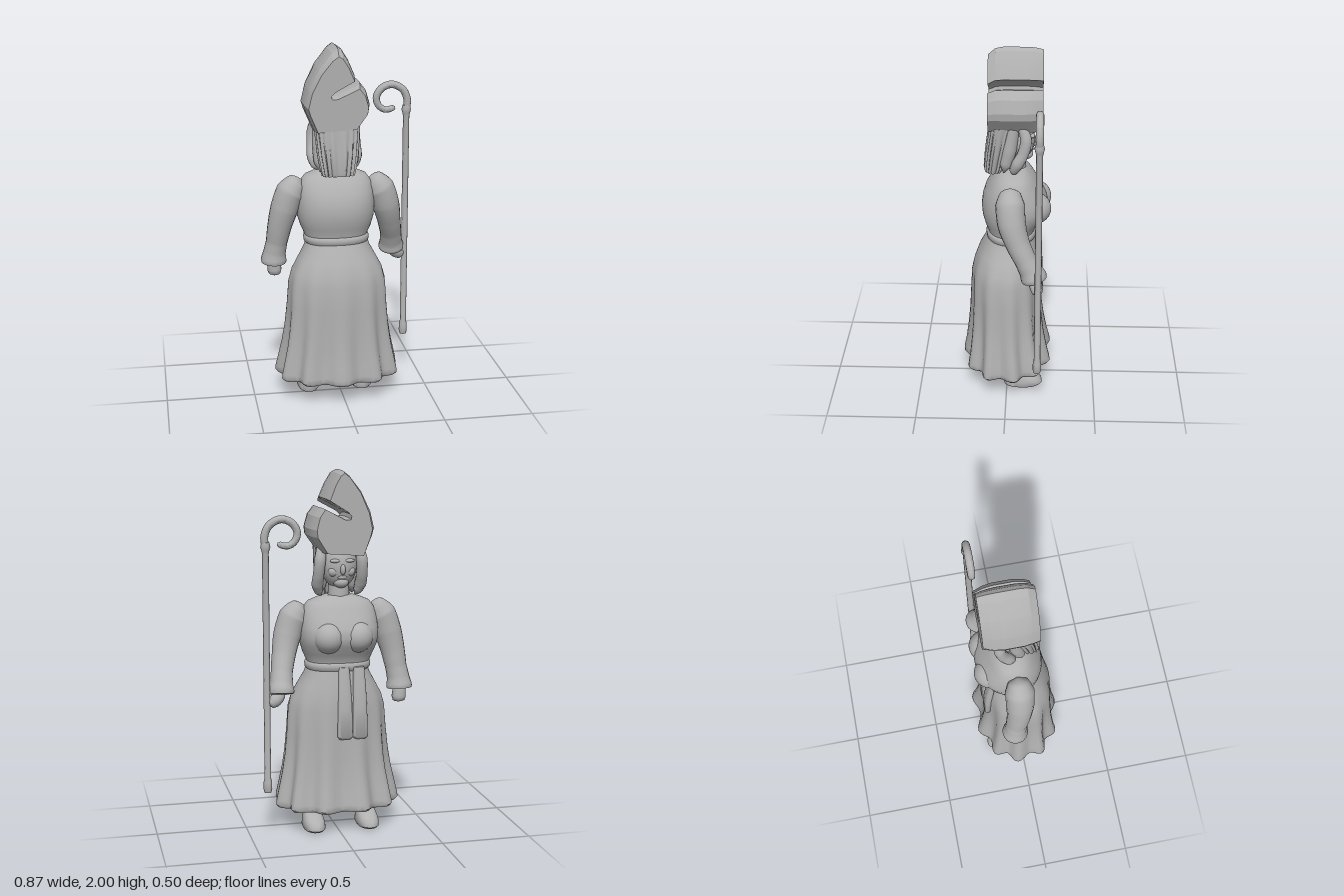
import * as THREE from 'three';
import { mergeVertices, toCreasedNormals } from 'three/addons/utils/BufferGeometryUtils.js';

const grey = new THREE.MeshStandardMaterial({ color: 0xb0b0b0 });
grey.name = 'stone grey';
const CX = -0.025; // body axis

function smooth(geo, crease = 0.8) {
  geo.deleteAttribute('uv');
  geo.deleteAttribute('normal');
  return toCreasedNormals(mergeVertices(geo, 1e-4), crease);
}

// Loft of oval rings, rows upward: [y, halfWidth, zPlus, zMinus, ripple]
function loft(rows, { cx = CX, lobes = 0, phase = 0, power = 0.9, seg = 88 } = {}) {
  const pos = [], idx = [];
  const first = rows[0], last = rows[rows.length - 1];
  const cap = r => [r[0], 0.001, (r[2] + r[3]) / 2 + 0.001, (r[2] + r[3]) / 2 - 0.001, 0];
  const all = [cap(first), ...rows, cap(last)];
  const bend = v => Math.sign(v) * Math.abs(v) ** power;
  all.forEach(([y, rx, zb, zf, rip = 0]) => {
    for (let j = 0; j < seg; j++) {
      const a = j / seg * Math.PI * 2, w = rip * Math.cos(lobes * a + phase);
      pos.push(cx + (rx + w) * bend(Math.cos(a)), y, (zb + zf) / 2 + ((zb - zf) / 2 + w) * bend(Math.sin(a)));
    }
  });
  for (let i = 0; i < all.length - 1; i++) for (let j = 0; j < seg; j++) {
    const k = (j + 1) % seg, a = i * seg + j, d = i * seg + k;
    idx.push(a, a + seg, d + seg, a, d + seg, d);
  }
  const g = new THREE.BufferGeometry();
  g.setAttribute('position', new THREE.Float32BufferAttribute(pos, 3));
  g.setIndex(idx);
  return smooth(g);
}

// Tube whose radius changes along its path: points are [x, y, z, radius]
function limb(points, seg = 40, radial = 18) {
  const curve = new THREE.CatmullRomCurve3(points.map(p => new THREE.Vector3(p[0], p[1], p[2])), false, 'centripetal');
  const g = new THREE.TubeGeometry(curve, seg, 1, radial);
  const p = g.attributes.position, v = new THREE.Vector3();
  for (let i = 0; i < p.count; i++) {
    const u = Math.floor(i / (radial + 1)) / seg;
    const t = curve.getUtoTmapping(u) * (points.length - 1);
    const k = Math.min(Math.floor(t), points.length - 2);
    const r = THREE.MathUtils.lerp(points[k][3], points[k + 1][3], t - k);
    const c = curve.getPointAt(u);
    v.fromBufferAttribute(p, i).sub(c).multiplyScalar(r).add(c);
    p.setXYZ(i, v.x, v.y, v.z);
  }
  return smooth(g, 1.0);
}

// Tall cap: notched outline, narrowed towards both ends of its depth
function mitreGeometry() {
  const outline = [[-0.15, 1.545], [0.085, 1.56], [0.15, 1.65], [0.155, 1.69], [0.135, 1.76], [0.1, 1.805],
    [-0.03, 1.745], [-0.065, 1.745], [-0.07, 1.765], [-0.05, 1.785], [0.07, 1.85], [0.035, 1.93], [0, 1.985],
    [-0.025, 2], [-0.06, 1.975], [-0.13, 1.89], [-0.185, 1.78], [-0.207, 1.69], [-0.195, 1.65]];
  const g = new THREE.ExtrudeGeometry(new THREE.Shape(outline.map(q => new THREE.Vector2(...q))),
    { depth: 1, steps: 5, bevelEnabled: false });
  const slices = [[-0.19, 0.84, 0.97], [-0.14, 0.95, 0.995], [-0.09, 1, 1], [0.02, 1, 1], [0.065, 0.96, 0.98], [0.105, 0.9, 0.9]];
  const p = g.attributes.position;
  for (let i = 0; i < p.count; i++) {
    const [z, sx, sy] = slices[Math.round(p.getZ(i) * 5)];
    p.setXYZ(i, CX + (p.getX(i) - CX) * sx, 1.57 + (p.getY(i) - 1.57) * sy, z);
  }
  return smooth(g, 0.25);
}

export function createModel() {
  const model = new THREE.Group();
  model.name = 'robedFigure';
  const add = (name, geo, parent = model) => {
    const m = new THREE.Mesh(geo, grey);
    m.name = name;
    parent.add(m);
    return m;
  };
  const ball = (name, x, y, z, rx, ry, rz) => {
    const m = add(name, new THREE.SphereGeometry(1, 28, 20));
    m.position.set(x, y, z);
    m.scale.set(rx, ry, rz);
    return m;
  };

  // Skirt with folds deepening towards the hem
  add('skirt', loft([
    [0.12, 0.322, 0.222, -0.225, 0.02], [0.135, 0.336, 0.234, -0.236, 0.021], [0.16, 0.334, 0.232, -0.232, 0.021],
    [0.22, 0.322, 0.222, -0.218, 0.019], [0.32, 0.303, 0.213, -0.202, 0.015], [0.42, 0.29, 0.207, -0.192, 0.011],
    [0.55, 0.28, 0.204, -0.186, 0.007], [0.68, 0.273, 0.2, -0.182, 0.004], [0.75, 0.255, 0.186, -0.178, 0.002],
    [0.82, 0.218, 0.161, -0.168, 0], [0.88, 0.185, 0.13, -0.157, 0], [0.92, 0.172, 0.112, -0.148, 0],
  ], { cx: -0.02, lobes: 11, phase: Math.PI / 2 }));

  // Bodice and belt
  add('bodice', loft([
    [0.9, 0.17, 0.105, -0.145], [0.95, 0.175, 0.108, -0.15], [1.0, 0.197, 0.126, -0.172], [1.05, 0.213, 0.139, -0.208],
    [1.1, 0.219, 0.144, -0.224], [1.15, 0.217, 0.138, -0.212], [1.2, 0.211, 0.122, -0.182], [1.25, 0.198, 0.093, -0.154],
    [1.285, 0.172, 0.068, -0.132], [1.305, 0.125, 0.045, -0.11], [1.32, 0.075, 0.025, -0.095],
  ], { power: 0.85 }));
  for (const s of [-1, 1]) ball('bust', CX + s * 0.08, 1.1, -0.145, 0.088, 0.09, 0.096);
  add('belt', loft([
    [0.905, 0.172, 0.108, -0.148], [0.915, 0.182, 0.117, -0.157], [0.935, 0.184, 0.119, -0.159],
    [0.948, 0.181, 0.116, -0.156], [0.956, 0.17, 0.107, -0.147],
  ], { cx: -0.023, power: 0.87 }));

  // Two hanging sash ends
  for (const x of [-0.115, -0.03]) add('sashEnd', loft([
    [0.53, 0.032, -0.165, -0.19], [0.545, 0.043, -0.165, -0.203], [0.7, 0.04, -0.155, -0.196],
    [0.82, 0.036, -0.14, -0.184], [0.93, 0.03, -0.13, -0.163],
  ], { cx: x, seg: 28, power: 0.7 }));

  // Sleeves with flared cuffs, and hands
  add('freeSleeve', limb([
    [-0.215, 1.265, -0.02, 0.001], [-0.235, 1.25, -0.02, 0.055], [-0.275, 1.2, -0.02, 0.08], [-0.312, 1.1, -0.025, 0.078],
    [-0.338, 1.0, -0.035, 0.068], [-0.355, 0.9, -0.05, 0.06], [-0.366, 0.84, -0.058, 0.063], [-0.371, 0.795, -0.063, 0.073],
    [-0.372, 0.775, -0.065, 0.068], [-0.372, 0.772, -0.065, 0.001]], 60));
  add('staffSleeve', limb([
    [0.165, 1.265, -0.02, 0.001], [0.185, 1.25, -0.02, 0.055], [0.225, 1.2, -0.02, 0.08], [0.262, 1.1, -0.03, 0.077],
    [0.288, 1.0, -0.062, 0.066], [0.308, 0.91, -0.105, 0.06], [0.316, 0.85, -0.135, 0.064], [0.32, 0.815, -0.15, 0.073],
    [0.321, 0.795, -0.156, 0.067], [0.321, 0.792, -0.157, 0.001]], 60));
  add('freeHand', limb([
    [-0.37, 0.82, -0.062, 0.03], [-0.37, 0.765, -0.068, 0.038], [-0.367, 0.73, -0.07, 0.04],
    [-0.366, 0.708, -0.071, 0.032], [-0.366, 0.7, -0.072, 0.001]], 24, 14));
  add('staffHand', limb([
    [0.325, 0.82, -0.15, 0.03], [0.34, 0.785, -0.16, 0.036], [0.362, 0.765, -0.168, 0.036],
    [0.385, 0.75, -0.172, 0.026], [0.392, 0.745, -0.173, 0.001]], 24, 14));

  // Feet: ankle and shoe pointing to the face side
  for (const x of [-0.18, 0.13]) {
    add('ankle', new THREE.CylinderGeometry(0.052, 0.058, 0.17, 24)).position.set(x, 0.095, -0.045);
    add('shoe', loft([
      [0, 0.056, 0.013, -0.188], [0.012, 0.062, 0.018, -0.203], [0.035, 0.061, 0.017, -0.2],
      [0.055, 0.058, 0.014, -0.175], [0.075, 0.052, 0.01, -0.135], [0.095, 0.045, 0.008, -0.1],
    ], { cx: x, seg: 32 }));
  }

  // Neck, head and face
  add('neck', new THREE.CylinderGeometry(0.052, 0.062, 0.16, 24)).position.set(CX, 1.36, -0.04);
  ball('head', CX, 1.485, -0.05, 0.098, 0.13, 0.097);
  ball('chin', CX, 1.395, -0.1, 0.042, 0.032, 0.038);
  ball('nose', CX, 1.468, -0.145, 0.014, 0.03, 0.02);
  ball('lips', CX, 1.425, -0.13, 0.026, 0.01, 0.014);
  for (const s of [-1, 1]) {
    ball('brow', CX + s * 0.037, 1.515, -0.13, 0.032, 0.011, 0.017);
    ball('cheek', CX + s * 0.045, 1.455, -0.113, 0.03, 0.028, 0.025);
  }

  // Ridged hair behind, with a curling lock on each side
  add('backHair', loft([
    [1.305, 0.086, 0.122, 0.034, 0.005], [1.33, 0.092, 0.126, 0.02, 0.006], [1.42, 0.108, 0.119, 0, 0.006],
    [1.5, 0.118, 0.11, -0.02, 0.004], [1.58, 0.125, 0.1, -0.04, 0.002],
  ], { lobes: 18, power: 0.7, seg: 144 }));
  for (const s of [-1, 1]) {
    const lock = [[0.105, 1.585, -0.08, 0.025], [0.116, 1.52, -0.1, 0.032], [0.121, 1.44, -0.085, 0.031],
      [0.121, 1.38, -0.055, 0.033], [0.108, 1.335, -0.035, 0.024], [0.092, 1.312, -0.028, 0.001]];
    add('sideLock', limb(lock.map(([x, y, z, r]) => [CX + s * x, y, z, r]), 30, 14));
    add('sideHair', limb([[1.58, -0.03, 0.035], [1.45, -0.01, 0.04], [1.36, 0.01, 0.032], [1.315, 0.02, 0.001]]
      .map(([y, z, r]) => [CX + s * 0.092, y, z, r]), 20, 14));
  }

  add('mitre', mitreGeometry());

  // Staff: turned shaft and curled crook
  const staff = new THREE.Group();
  staff.name = 'staff';
  staff.position.set(0.404, 0, -0.175);
  model.add(staff);
  const profile = [[0, 0.25], [0.019, 0.255], [0.024, 0.275], [0.023, 0.315], [0.018, 0.335], [0.018, 1.57],
    [0.021, 1.585], [0.027, 1.605], [0.021, 1.63], [0, 1.64]];
  add('shaft', smooth(new THREE.LatheGeometry(profile.map(q => new THREE.Vector2(...q)), 20)), staff);
  add('crook', limb([[0.002, 1.61, 0, 0.02], [0.004, 1.665, 0, 0.021], [-0.022, 1.72, 0, 0.021], [-0.083, 1.75, 0, 0.021],
    [-0.142, 1.73, 0, 0.021], [-0.172, 1.68, 0, 0.02], [-0.158, 1.632, 0, 0.019], [-0.12, 1.608, 0, 0.018],
    [-0.08, 1.616, 0, 0.017], [-0.068, 1.624, 0, 0.011], [-0.066, 1.626, 0, 0.001]], 64, 14), staff);

  return model;
}
